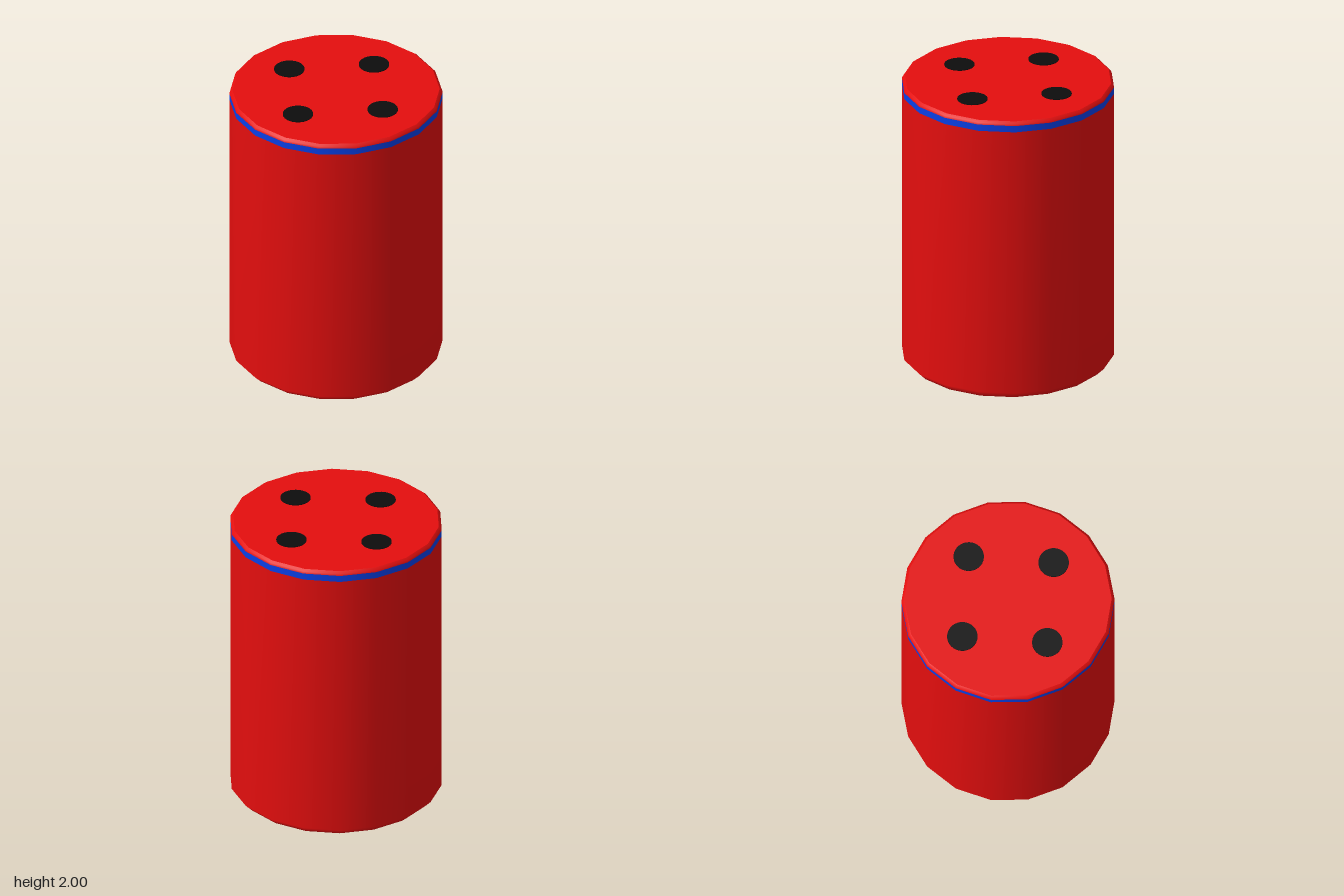
import * as THREE from 'three';

const SIDES = 18;
const red = new THREE.MeshStandardMaterial({ color: 0xe50e0e });
const blue = new THREE.MeshStandardMaterial({ color: 0x0a40e8 });
const black = new THREE.MeshStandardMaterial({ color: 0x0d0d0d });

// Ring of faces from [radius, height] pairs listed bottom to top, with a corner on +x
function lathe(name, profile, material) {
  const points = profile.map(([r, y]) => new THREE.Vector2(r, y));
  const mesh = new THREE.Mesh(new THREE.LatheGeometry(points, SIDES, Math.PI / 2), material);
  mesh.name = name;
  return mesh;
}

// Flat end cap, facing up or down
function cap(name, radius, y, up) {
  const mesh = new THREE.Mesh(new THREE.CircleGeometry(radius, SIDES), red);
  mesh.rotation.x = up ? -Math.PI / 2 : Math.PI / 2;
  mesh.position.y = y;
  mesh.name = name;
  return mesh;
}

export function createModel() {
  const model = new THREE.Group();
  model.name = 'canister';

  // Smooth body with a bevelled foot
  model.add(lathe('body', [[0.65, 0], [0.7, 0.05], [0.7, 1.925]], red));
  model.add(cap('base', 0.65, 0, false));

  // Blue stripe below the rim
  model.add(lathe('band', [[0.7, 1.925], [0.7, 1.97]], blue));

  // Bevelled rim and flat lid
  model.add(lathe('rim', [[0.7, 1.97], [0.695, 1.983], [0.68, 1.995]], red));
  model.add(cap('lid', 0.68, 1.995, true));

  // Four black spots on the lid
  for (let i = 0; i < 4; i++) {
    const angle = (i * Math.PI) / 2;
    const spot = new THREE.Mesh(new THREE.CylinderGeometry(0.1, 0.1, 0.01, 32), black);
    spot.position.set(0.395 * Math.cos(angle), 1.995, 0.395 * Math.sin(angle));
    spot.name = `lidSpot${i + 1}`;
    model.add(spot);
  }
  return model;
}
